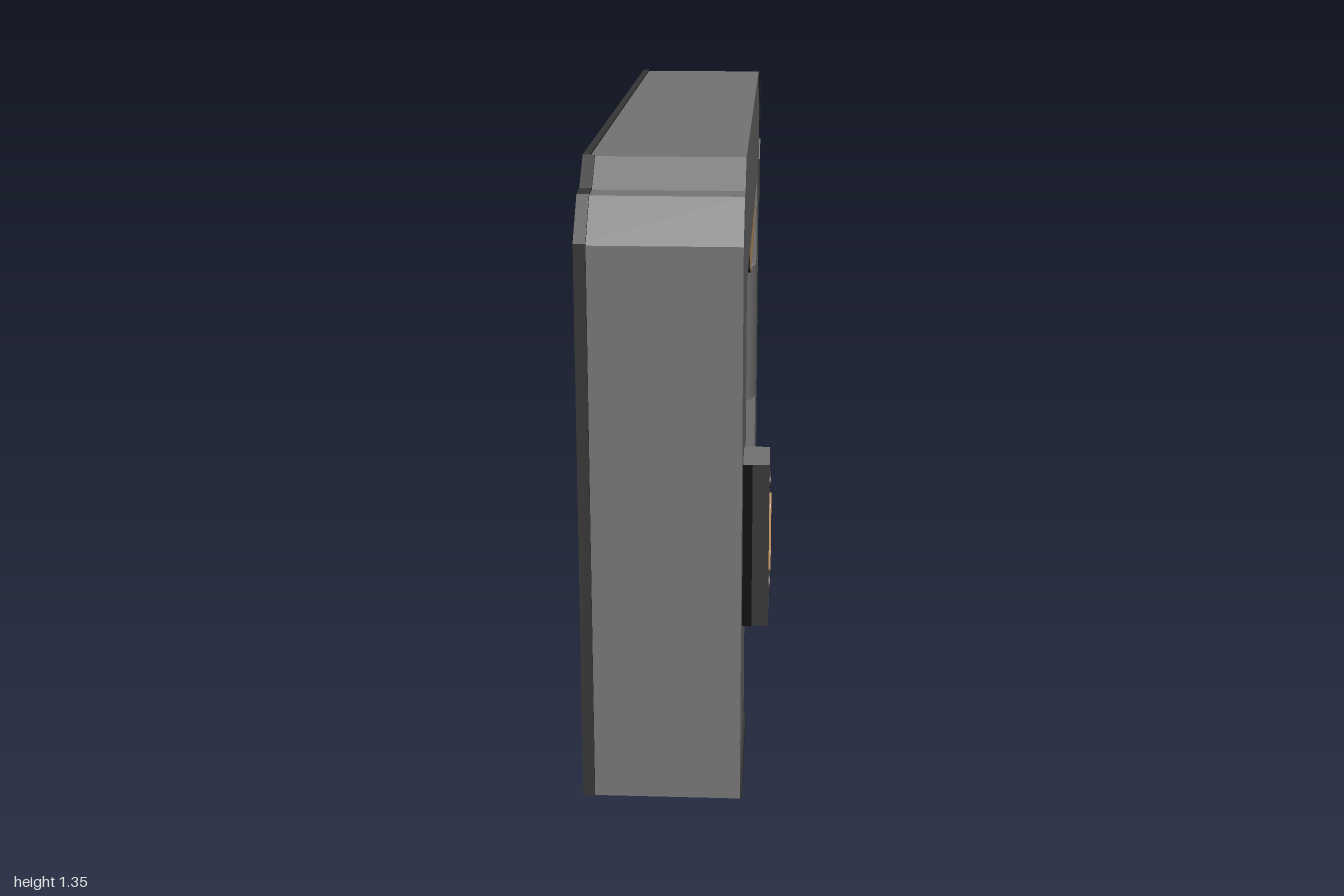
import * as THREE from 'three';

const mat = (name, color) => Object.assign(new THREE.MeshStandardMaterial({ color }), { name });

export function createModel() {
  const grey = mat('grey metal', 0x737373);
  const charcoal = mat('charcoal', 0x353535);
  const black = mat('black', 0x0c0c0c);
  const orange = mat('warm orange', 0xcf9f6d);

  const group = new THREE.Group();
  const add = (name, geo, material) => {
    const mesh = new THREE.Mesh(geo, material);
    mesh.name = name;
    group.add(mesh);
    return mesh;
  };
  const shapeOf = (pts) => new THREE.Shape(pts.map(([a, b]) => new THREE.Vector2(a, b)));
  // Side outline in (z, y), extruded from x0 to x1
  const prismX = (shape, x0, x1) => new THREE.ExtrudeGeometry(shape, {
    depth: x1 - x0, bevelEnabled: false, curveSegments: 20,
  }).rotateY(-Math.PI / 2).translate(x1, 0, 0);
  // Plan outline in (x, z), extruded from y0 to y1
  const prismY = (shape, y0, y1) => new THREE.ExtrudeGeometry(shape, {
    depth: y1 - y0, bevelEnabled: false, curveSegments: 24,
  }).rotateX(Math.PI / 2).translate(0, y1, 0);
  const box = (x0, x1, y0, y1, z0, z1) => new THREE.BoxGeometry(x1 - x0, y1 - y0, z1 - z0)
    .translate((x0 + x1) / 2, (y0 + y1) / 2, (z0 + z1) / 2);

  const L = -0.195, R = 0.14, T = 0.004;

  // Portal frame with stepped upper corners
  const frontCorner = [[1, 1.2], [0.92, 1.285], [0.87, 1.288], [0.8, 1.345]];
  add('doorFrame', prismX(shapeOf([
    [1, 0], ...frontCorner, [-0.8, 1.345], [-0.92, 1.28], [-1, 1.2], [-1, 0],
    [-0.66, 0], [-0.66, 1.05], [0.665, 1.05], [0.665, 0],
  ]), L, R), grey);

  // Dark trim along the front and top edge
  add('frontEdgeTrim', prismX(shapeOf([
    [1, 0], [1 + T, 0], ...frontCorner.map(([z, y]) => [z + T, y + T]),
    [0.8, 1.345], ...frontCorner.slice(0, 3).reverse(),
  ]), L, -0.17), charcoal);
  add('topEdgeTrim', box(L, -0.18, 1.345, 1.345 + T, -0.8, 0.8), charcoal);
  add('footTrim', box(R, R + T, 0, 0.03, 0.665, 1), charcoal);

  // Dark panel down the back leg, wrapping under the foot
  const backPanel = new THREE.ExtrudeGeometry(
    shapeOf([[-0.03, 0], [-0.03, 0.77], [-0.17, 1.14], [-0.17, 0]]),
    { depth: T, bevelEnabled: false }).translate(0, 0, -1 - T);
  add('backLegPanel', backPanel, black);
  add('backFootPanel', box(-0.17, -0.03, -0.002, 0.002, -1, -0.72), black);

  // Worn dark corner on the upper back
  add('backCornerPatch', prismX(shapeOf([
    [-0.77, 1.345], [-0.8, 1.345], [-0.92, 1.28], [-1, 1.2], [-1, 1.17],
    [-0.96, 1.18], [-0.93, 1.24], [-0.85, 1.285],
  ]), R, R + T), charcoal);
  add('backEdgePatch', prismX(shapeOf([[-1, 1.12], [-0.98, 1.06], [-1, 0.92]]), R, R + T), charcoal);

  // Lamp under the lintel, with dark underside and glowing lens
  const lampOutline = shapeOf([[0.33, 1.05], [0.33, 1.01], [0.2, 0.97], [-0.2, 0.97], [-0.33, 1.01], [-0.33, 1.05]]);
  add('lamp', prismX(lampOutline, -0.04, R), [orange, black]);
  const lens = new THREE.Shape();
  lens.moveTo(-0.04, -0.2);
  lens.absellipse(-0.04, 0, 0.13, 0.2, -Math.PI / 2, Math.PI / 2, false);
  add('lampLens', prismY(lens, 0.966, 0.97), orange);

  // Control panel on the front leg: face and top grey, edges dark
  add('controlPanel', box(R, 0.195, 0.365, 0.725, 0.8, 0.92),
    [grey, black, grey, black, charcoal, black]);
  add('controlPanelSeam', box(R, 0.16, 0.365, 0.725, 0.92, 0.922), black);
  const roundRect = (Shape, z0, z1, y0, y1, r) => {
    const s = new Shape();
    s.absarc(z1 - r, y1 - r, r, 0, Math.PI / 2);
    s.absarc(z0 + r, y1 - r, r, Math.PI / 2, Math.PI);
    s.absarc(z0 + r, y0 + r, r, Math.PI, Math.PI * 1.5);
    s.absarc(z1 - r, y0 + r, r, Math.PI * 1.5, Math.PI * 2);
    s.closePath();
    return s;
  };
  const rim = roundRect(THREE.Shape, 0.825, 0.905, 0.48, 0.635, 0.012);
  rim.holes.push(roundRect(THREE.Path, 0.84, 0.89, 0.497, 0.62, 0.012));
  add('screenRim', prismX(rim, 0.195, 0.199), orange);
  add('screen', prismX(roundRect(THREE.Shape, 0.84, 0.89, 0.497, 0.62, 0.012), 0.195, 0.197), charcoal);
  for (const [name, y, ry] of [['upperButton', 0.675, 0.017], ['lowerButton', 0.44, 0.025]]) {
    const dot = new THREE.Shape();
    dot.absellipse(0.865, y, 0.025, ry, 0, Math.PI * 2);
    add(name, prismX(dot, 0.195, 0.198), charcoal);
  }

  // Rounded latch housing on the inner face of the back leg
  const latch = new THREE.Shape();
  latch.moveTo(-0.03, -0.66);
  latch.lineTo(-0.03, -0.54);
  latch.lineTo(0.04, -0.54);
  latch.bezierCurveTo(0.09, -0.545, 0.135, -0.59, R, -0.66);
  add('latchHousing', prismY(latch, 0.405, 0.805), grey);
  // Light strip on the latch's curved face
  add('latchLight', prismY(shapeOf([[0.073, -0.552], [0.078, -0.549], [0.104, -0.573], [0.099, -0.577]]),
    0.44, 0.78), orange);

  return group;
}
